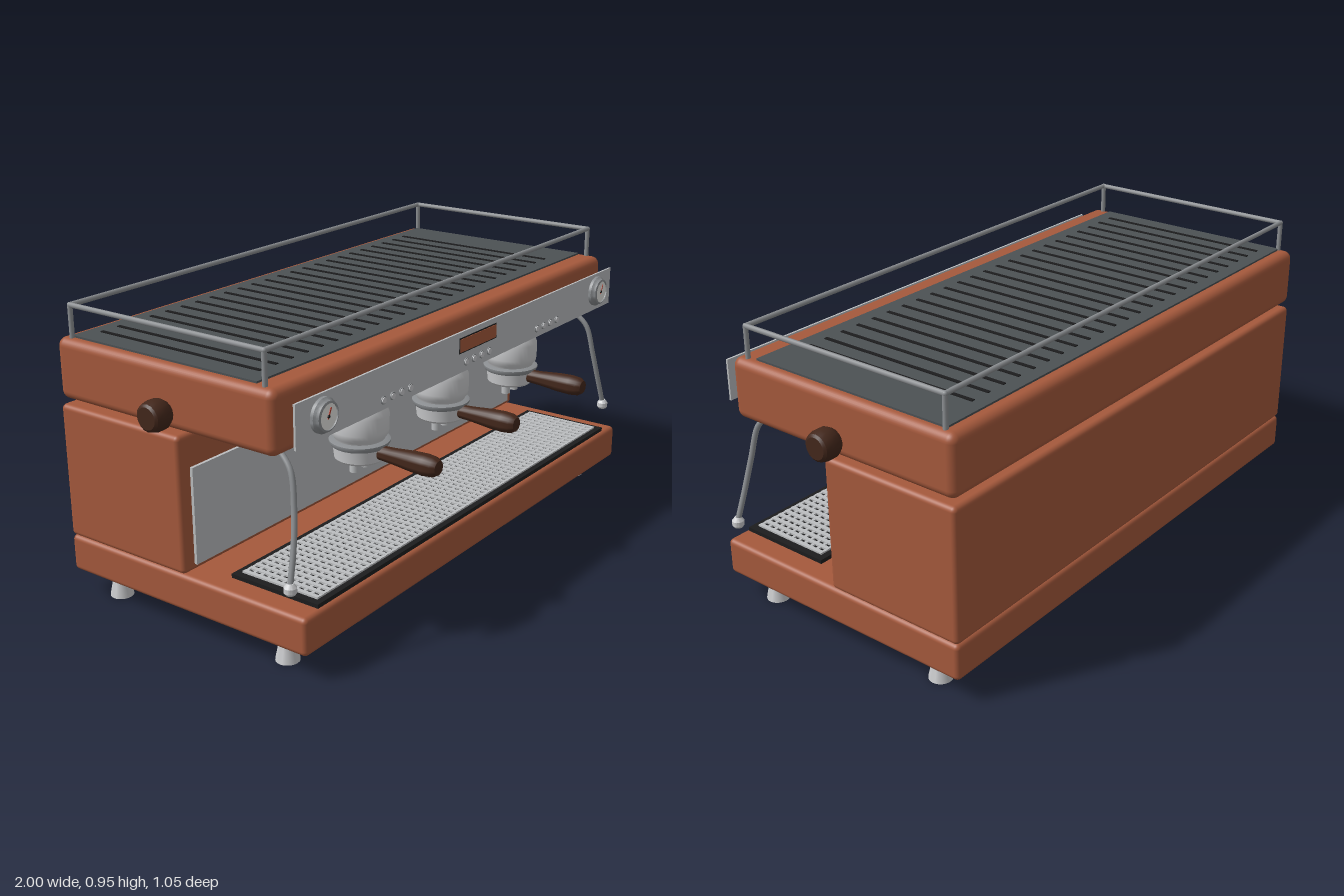
import * as THREE from 'three';
import { RoundedBoxGeometry } from 'three/addons/geometries/RoundedBoxGeometry.js';
import { toCreasedNormals } from 'three/addons/utils/BufferGeometryUtils.js';

const mat = (name, color) => {
  const m = new THREE.MeshStandardMaterial({ color });
  m.name = name;
  return m;
};

export function createModel() {
  const model = new THREE.Group();
  model.name = 'espressoMachine';
  const copper = mat('copper enamel', 0xa5593c);
  const steel = mat('brushed steel', 0xbcbec0);
  const chrome = mat('light chrome', 0xcbccce);
  const pipe = mat('pipe steel', 0x8b8e91);
  const slate = mat('cup tray grey', 0x4c5154);
  const black = mat('black', 0x1d1d1e);
  const wood = mat('dark wood', 0x43271b);
  const white = mat('dial white', 0xe6e6e2);
  const red = mat('needle red', 0xb03a28);

  const add = (name, geo, material, x = 0, y = 0, z = 0, parent = model) => {
    const mesh = new THREE.Mesh(geo, material);
    mesh.name = name;
    mesh.position.set(x, y, z);
    parent.add(mesh);
    return mesh;
  };
  // Boxes are given by their minimum and maximum corners
  const box = (name, material, x0, x1, y0, y1, z0, z1, r = 0) => {
    const s = [x1 - x0, y1 - y0, z1 - z0];
    const geo = r ? new RoundedBoxGeometry(...s, 4, r) : new THREE.BoxGeometry(...s);
    return add(name, geo, material, (x0 + x1) / 2, (y0 + y1) / 2, (z0 + z1) / 2);
  };
  const lathe = (points, sides = 32) => toCreasedNormals(
    new THREE.LatheGeometry(points.map(p => new THREE.Vector2(...p)), sides), 0.6);
  const rod = (name, a, b, r) => {
    const path = new THREE.LineCurve3(new THREE.Vector3(...a), new THREE.Vector3(...b));
    return add(name, new THREE.TubeGeometry(path, 1, r, 10), pipe);
  };

  // Housing
  box('base', copper, -0.93, 0.93, 0.08, 0.2, -0.525, 0.415, 0.016);
  box('rearBody', copper, -0.93, 0.93, 0.2, 0.635, -0.525, -0.04, 0.016);
  box('upperBody', copper, -0.93, 0.93, 0.652, 0.846, -0.525, 0.32, 0.028);
  box('backsplash', steel, -0.885, 0.885, 0.222, 0.53, -0.041, -0.03);

  // Feet
  const footGeo = lathe([[0, 0], [0.037, 0], [0.036, 0.008], [0.03, 0.035], [0.025, 0.08], [0, 0.08]], 24);
  for (const x of [-0.855, 0.855]) for (const z of [-0.395, 0.285]) add('foot', footGeo, chrome, x, 0, z);

  // Drip tray with its grating
  box('dripTray', black, -0.855, 0.855, 0.198, 0.213, 0.078, 0.4);
  for (let i = 0; i <= 60; i++) {
    const x = -0.825 + i * 0.0275;
    box('grateBar', steel, x - 0.007, x + 0.007, 0.211, 0.219, 0.1, 0.38);
  }
  for (let i = 0; i <= 10; i++) {
    const z = 0.105 + i * 0.027;
    box('grateCrossBar', steel, -0.832, 0.832, 0.211, 0.218, z - 0.005, z + 0.005);
  }

  // Cup warmer with slots
  box('cupTray', slate, -0.9, 0.9, 0.84, 0.852, -0.48, 0.24);
  for (let i = 0; i < 24; i++) {
    const x = -0.825 + i * 0.068;
    box('cupTraySlot', black, x - 0.006, x + 0.006, 0.85, 0.855, -0.435, 0.19);
  }

  // Cup rail
  const [rx, ry, zb, zf] = [0.903, 0.946, -0.478, 0.272];
  for (const z of [zb, zf]) {
    rod('railLong', [-rx, ry, z], [rx, ry, z], 0.008);
    for (const x of [-rx, rx]) {
      rod('railPost', [x, 0.835, z], [x, ry, z], 0.008);
      add('railCorner', new THREE.SphereGeometry(0.0085, 10, 8), pipe, x, ry, z);
    }
  }
  for (const x of [-rx, rx]) rod('railSide', [x, ry, zb], [x, ry, zf], 0.008);

  // Control panel, display and buttons
  box('controlPanel', steel, -0.903, 0.903, 0.683, 0.815, 0.366, 0.373);
  box('displayFrame', black, -0.108, 0.108, 0.747, 0.797, 0.372, 0.375);
  box('display', copper, -0.104, 0.104, 0.751, 0.793, 0.373, 0.377);
  const rimGeo = new THREE.CylinderGeometry(0.0125, 0.0125, 0.004, 20).rotateX(Math.PI / 2);
  const buttonGeo = new THREE.CylinderGeometry(0.0095, 0.0095, 0.007, 20).rotateX(Math.PI / 2);
  const headXs = [-0.44, 0, 0.44];
  for (const hx of headXs) for (let i = 0; i < 4; i++) {
    const x = hx + (i - 1.5) * 0.045;
    add('buttonRim', rimGeo, pipe, x, 0.713, 0.374);
    add('button', buttonGeo, chrome, x, 0.713, 0.375);
  }

  // Pressure gauges
  const gaugeGeo = lathe([[0, 0], [0.052, 0], [0.052, 0.012], [0.046, 0.018], [0.044, 0.026],
    [0.038, 0.029], [0.038, 0.022], [0, 0.022]], 40).rotateX(Math.PI / 2);
  for (const x of [-0.79, 0.79]) {
    const gauge = new THREE.Group();
    gauge.name = 'pressureGauge';
    gauge.position.set(x, 0.753, 0.371);
    model.add(gauge);
    add('gaugeCase', gaugeGeo, pipe, 0, 0, 0, gauge);
    add('dial', new THREE.CylinderGeometry(0.038, 0.038, 0.002, 32).rotateX(Math.PI / 2), white, 0, 0, 0.0235, gauge);
    const needle = add('needle', new THREE.BoxGeometry(0.005, 0.034, 0.002), red, 0.004, 0.008, 0.0255, gauge);
    needle.rotation.z = -0.45;
    add('needleHub', new THREE.CylinderGeometry(0.005, 0.005, 0.003, 12).rotateX(Math.PI / 2), black, 0, 0, 0.026, gauge);
  }

  // Brew groups with portafilters
  const headGeo = lathe([[0, 0.545], [0.076, 0.545], [0.08, 0.556], [0.088, 0.566], [0.09, 0.58],
    [0.09, 0.628], [0.084, 0.645], [0.078, 0.656], [0, 0.656]], 40);
  const basketGeo = lathe([[0, 0.48], [0.07, 0.48], [0.078, 0.488], [0.083, 0.53], [0, 0.53]], 40);
  const collarGeo = lathe([[0, 0.528], [0.088, 0.528], [0.094, 0.538], [0.094, 0.544], [0.08, 0.549], [0, 0.549]], 40);
  const spoutGeo = new THREE.CylinderGeometry(0.015, 0.015, 0.045, 16);
  const handleGeo = lathe([[0, 0], [0.022, 0], [0.025, 0.05], [0.032, 0.12], [0.034, 0.165],
    [0.031, 0.195], [0.022, 0.21], [0, 0.213]], 24).rotateX(Math.PI / 2);
  const neckGeo = new THREE.CylinderGeometry(0.014, 0.014, 0.07, 16).rotateX(Math.PI / 2);
  for (const x of headXs) {
    const brew = new THREE.Group();
    brew.name = 'brewGroup';
    brew.position.set(x, 0, 0.237);
    model.add(brew);
    add('brewHead', headGeo, chrome, 0, 0, 0, brew);
    add('lockingCollar', collarGeo, pipe, 0, 0, 0, brew);
    add('filterBasket', basketGeo, chrome, 0, 0, 0, brew);
    for (const s of [-1, 1]) add('spout', spoutGeo, steel, s * 0.027, 0.467, 0, brew);
    add('handleNeck', neckGeo, pipe, 0, 0.515, 0.06, brew);
    add('portafilterHandle', handleGeo, wood, 0, 0.515, 0.076, brew);
  }

  // Steam wands and side knobs, mirrored
  const tipGeo = lathe([[0, 0], [0.014, 0], [0.019, 0.007], [0.019, 0.022], [0.01, 0.034], [0, 0.034]], 20);
  const knobGeo = lathe([[0, 0], [0.036, 0], [0.047, 0.018], [0.048, 0.045], [0.042, 0.066], [0.034, 0.072], [0, 0.072]], 16);
  for (const s of [-1, 1]) {
    const path = new THREE.CatmullRomCurve3([[0.842, 0.665, 0.24], [0.846, 0.64, 0.27], [0.855, 0.595, 0.313],
      [0.872, 0.49, 0.336], [0.895, 0.39, 0.35], [0.925, 0.29, 0.36]]
      .map(([x, y, z]) => new THREE.Vector3(s * x, y, z)));
    add('steamWand', new THREE.TubeGeometry(path, 32, 0.009, 12), pipe);
    add('steamTip', tipGeo, chrome, s * 0.926, 0.263, 0.361);
    const knob = add('steamKnob', knobGeo, wood, s * 0.928, 0.703, -0.086);
    knob.rotation.z = -s * Math.PI / 2;
  }
  return model;
}
